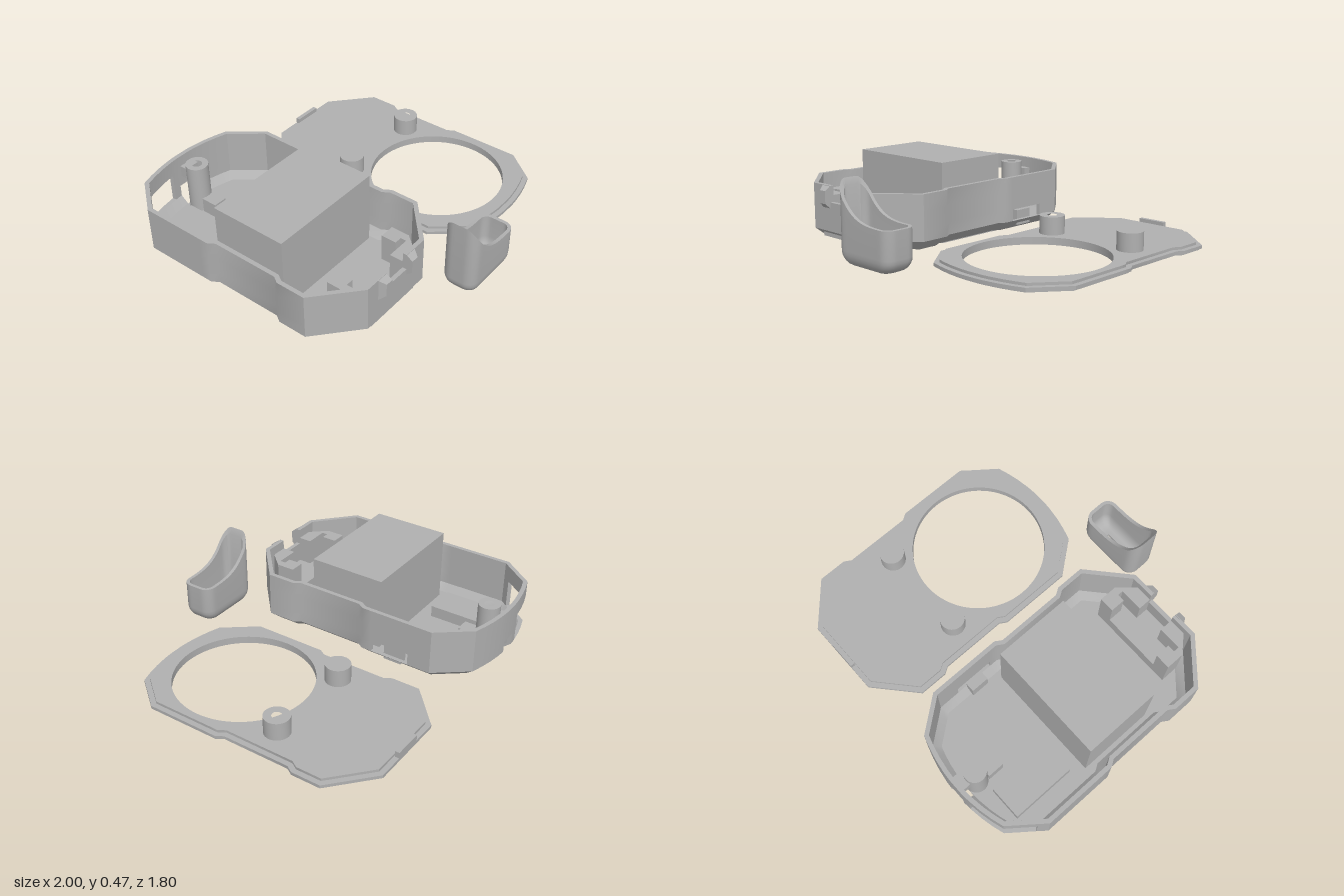
import * as THREE from 'three';
import { toCreasedNormals } from 'three/addons/utils/BufferGeometryUtils.js';

const grey = new THREE.MeshStandardMaterial({ color: 0xb0b0b0 });
grey.name = 'grey plastic';

function add(parent, name, geometry) {
  const mesh = new THREE.Mesh(toCreasedNormals(geometry, 0.6), grey);
  mesh.name = name;
  parent.add(mesh);
  return mesh;
}

// box given by its limits on each axis
function box(parent, name, x0, x1, y0, y1, z0, z1) {
  const g = new THREE.BoxGeometry(x1 - x0, y1 - y0, z1 - z0);
  return add(parent, name, g.translate((x0 + x1) / 2, (y0 + y1) / 2, (z0 + z1) / 2));
}

const circle = (x, z, r, n = 48) => Array.from({ length: n }, (_, i) => {
  const a = (i / n) * Math.PI * 2;
  return [x + r * Math.cos(a), z + r * Math.sin(a)];
});
const rect = (x0, x1, z0, z1) => [[x0, z1], [x1, z1], [x1, z0], [x0, z0]];

// flat plate from a plan outline [x, z], with optional holes
function slab(parent, name, outline, y0, y1, holes = []) {
  const vec = pts => pts.map(([x, z]) => new THREE.Vector2(x, -z));
  const shape = new THREE.Shape(vec(outline));
  shape.holes = holes.map(h => new THREE.Path(vec(h)));
  const g = new THREE.ExtrudeGeometry(shape, { depth: y1 - y0, bevelEnabled: false });
  return add(parent, name, g.rotateX(-Math.PI / 2).translate(0, y0, 0));
}

function quadGeometry(quads) {
  const pos = [];
  for (const [a, b, c, d] of quads) pos.push(...a, ...b, ...c, ...a, ...c, ...d);
  const g = new THREE.BufferGeometry();
  g.setAttribute('position', new THREE.Float32BufferAttribute(pos, 3));
  g.computeVertexNormals();
  return g;
}

// shared plan outline of case and lid, front to back on the right, then mirrored
const arc = x => -0.905 + 0.055 * (x / 0.32) ** 2;
const half = [[0.085, 0.64], [0.235, 0.64], [0.47, 0.43], [0.47, 0.26], [0.445, 0.22], [0.445, -0.18],
  [0.47, -0.22], [0.47, -0.28], [0.47, -0.52], [0.47, -0.66], [0.43, -0.71],
  ...[0.32, 0.25, 0.18, 0.1, 0.05].map(x => [x, arc(x)])];
const plan = [...half, ...half.map(([x, z]) => [-x, z]).reverse()];

// mitred inward offset
function inset(pts, d) {
  const n = pts.length;
  const normal = i => {
    const [a, b] = [pts[(i + n) % n], pts[(i + 1) % n]];
    const l = Math.hypot(b[0] - a[0], b[1] - a[1]);
    return [-(b[1] - a[1]) / l, (b[0] - a[0]) / l];
  };
  return pts.map(([x, z], i) => {
    const [p, q] = [normal(i - 1), normal(i)];
    const k = d / (1 + p[0] * q[0] + p[1] * q[1]);
    return [x - (p[0] + q[0]) * k, z - (p[1] + q[1]) * k];
  });
}

// wall built from cells; cells left out become openings with closed edges
function caseWall() {
  const ys = [0.01, 0.07, 0.14, 0.24, 0.335], n = plan.length;
  const inner = inset(plan, 0.025), foot = inset(plan, 0.07);
  const O = (i, k) => { const p = (k ? plan : foot)[i % n]; return [p[0], ys[k], p[1]]; };
  const I = (i, k) => { const p = (k ? inner : foot)[i % n]; return [p[0], k ? ys[k] : 0.03, p[1]]; };
  const solid = (i, k) => {
    if (k < 0) return true;
    if (k > 3) return false;
    const a = plan[(i + n) % n], b = plan[(i + 1 + n) % n];
    const x = (a[0] + b[0]) / 2, z = (a[1] + b[1]) / 2;
    if (k === 3 && z > 0.63 && Math.abs(x) < 0.08) return false;           // front notch
    if (k === 1 && x > 0.46 && z < -0.28 && z > -0.52) return false;       // side window
    if ((k === 1 || k === 2) && z < -0.7 && x < -0.1 && x > -0.43) return false; // back window
    return !(k < 2 && z < -0.8 && Math.abs(x) < 0.04);                     // back slot
  };
  const quads = [];
  for (let i = 0; i < n; i++) for (let k = 0; k < 4; k++) {
    if (!solid(i, k)) continue;
    const [A, B, C, D] = [O(i, k), O(i + 1, k), O(i + 1, k + 1), O(i, k + 1)];
    const [a, b, c, d] = [I(i, k), I(i + 1, k), I(i + 1, k + 1), I(i, k + 1)];
    quads.push([A, B, C, D], [b, a, d, c]);
    if (!solid(i, k + 1)) quads.push([D, C, c, d]);
    if (!solid(i, k - 1)) quads.push([A, a, b, B]);
    if (!solid(i + 1, k)) quads.push([B, b, c, C]);
    if (!solid(i - 1, k)) quads.push([A, D, d, a]);
  }
  return quadGeometry(quads);
}

function makeCase() {
  const g = new THREE.Group();
  g.name = 'case';
  add(g, 'caseWall', caseWall());
  slab(g, 'caseFloor', inset(plan, 0.07), 0.01, 0.03);
  box(g, 'mainBlock', -0.35, 0.36, 0, 0.465, -0.27, 0.19);
  box(g, 'smallBlock', -0.305, -0.105, 0.03, 0.1, -0.74, -0.35);
  box(g, 'switchBlock', 0.385, 0.44, 0.03, 0.12, -0.46, -0.35);
  slab(g, 'screwPost', circle(0, -0.77, 0.065, 32), 0.03, 0.32, [circle(0, -0.77, 0.03, 24)]);
  box(g, 'postRib', -0.04, 0.045, 0.03, 0.12, -0.71, -0.61);
  box(g, 'backCatch', -0.03, 0.06, 0.2, 0.27, -0.88, -0.83);
  // front bracket with a T-shaped channel, and tapered clips outside
  slab(g, 'bracketBase', [[-0.27, 0.41], [-0.27, 0.52], [-0.18, 0.62], [0.18, 0.62], [0.27, 0.52], [0.27, 0.41]], 0.03, 0.12);
  for (const s of [-1, 1]) {
    const side = [[0.18, 0.41], [0.18, 0.5], [0.225, 0.5], [0.225, 0.535], [0.085, 0.535], [0.085, 0.62],
      [0.18, 0.62], [0.27, 0.52], [0.27, 0.41]];
    slab(g, 'bracketSide', side.map(([x, z]) => [x * s, z]), 0.12, 0.28);
    const clip = new THREE.BoxGeometry(0.07, 0.135, 0.04).translate(0.12 * s, 0.268, 0.655);
    const p = clip.attributes.position;
    for (let i = 0; i < p.count; i++) if (p.getZ(i) > 0.66) {
      p.setY(i, p.getY(i) > 0.268 ? 0.31 : 0.235);
      if (p.getX(i) * s > 0.12) p.setX(i, 0.13 * s);
    }
    add(g, 'frontClip', clip);
  }
  g.position.x = -0.53;
  return g;
}

function makeLid() {
  const g = new THREE.Group();
  g.name = 'lid';
  const outline = plan.map(([x, z]) => [-x, -z - 0.24]);
  const hole = circle(0, 0.165, 0.397, 72);
  slab(g, 'lidUnderside', inset(outline, 0.015), 0.012, 0.022, [hole]);
  slab(g, 'lidPlate', outline, 0.022, 0.04, [hole]);
  slab(g, 'lidLip', inset(outline, 0.03), 0.04, 0.055, [hole]);
  slab(g, 'holeRing', circle(0, 0.165, 0.43, 72), 0.006, 0.012, [hole]);
  box(g, 'lidTab', -0.085, 0.085, 0.04, 0.075, -0.88, -0.855);
  for (const s of [-1, 1]) {
    slab(g, 'lidPost', circle(0.275 * s, -0.27, 0.073, 32), 0.055, 0.16, [circle(0.275 * s, -0.27, 0.028, 24)]);
    // raised frames on the underside
    const x = 0.33 * s;
    slab(g, 'sideFrame', rect(x - 0.06, x + 0.06, -0.66, -0.36), 0.006, 0.012, [rect(x - 0.04, x + 0.04, -0.64, -0.38)]);
  }
  slab(g, 'centreFrame', rect(-0.2, 0.2, -0.66, -0.36), 0.006, 0.012, [rect(-0.175, 0.175, -0.635, -0.385)]);
  slab(g, 'endFrame', rect(-0.2, 0.2, -0.82, -0.72), 0.006, 0.012, [rect(-0.18, 0.18, -0.8, -0.74)]);
  g.position.x = 0.53;
  return g;
}

// rounded rectangle loop with evenly subdivided sides
function roundRect(hx, hz, r) {
  const corners = [[1, 1], [1, -1], [-1, -1], [-1, 1]].map(([sx, sz], c) =>
    Array.from({ length: 7 }, (_, j) => {
      const a = Math.PI / 2 * (1 - c - j / 6);
      return [sx * (hx - r) + r * Math.cos(a), sz * (hz - r) + r * Math.sin(a)];
    }));
  return corners.flatMap((pts, c) => {
    const a = pts[6], b = corners[(c + 1) % 4][0];
    const mid = Array.from({ length: 11 }, (_, j) => (j + 1) / 12);
    return [...pts, ...mid.map(t => [a[0] + (b[0] - a[0]) * t, a[1] + (b[1] - a[1]) * t])];
  });
}

// hollow cup with a sweeping rim and a slot through its base
function makeScoop() {
  const rim = x => 0.245 + 0.215 * Math.max(0, 1 - (x + 0.205) / 0.41) ** 4;
  const ring = (hx, hz, r, y) => roundRect(hx, hz, r).map(([x, z]) => [x, y ?? rim(x), z]);
  const slot = y => ring(0.09, 0.015, 0.001, y);
  const shell = (t, y0) => Array.from({ length: 7 }, (_, j) => {
    const a = (j / 6) * Math.PI / 2, k = 1 - Math.sin(a);
    return ring(0.205 - t - 0.075 * k, 0.1 - t - 0.045 * k, 0.062 - t - 0.025 * k, y0 + 0.08 * (1 - Math.cos(a)));
  });
  const rings = [slot(0.01), ...shell(0, 0.01), ring(0.205, 0.1, 0.062), ring(0.185, 0.08, 0.042),
    ...shell(0.02, 0.03).reverse(), slot(0.03), slot(0.01)];
  const quads = [], n = rings[0].length;
  for (let k = 0; k + 1 < rings.length; k++) for (let i = 0; i < n; i++) {
    const j = (i + 1) % n;
    quads.push([rings[k][i], rings[k][j], rings[k + 1][j], rings[k + 1][i]]);
  }
  const g = new THREE.Group();
  g.name = 'scoop';
  add(g, 'scoopShell', quadGeometry(quads));
  g.position.set(-0.015, 0, 0.8);
  return g;
}

export function createModel() {
  const model = new THREE.Group();
  model.name = 'enclosureKit';
  model.add(makeCase(), makeLid(), makeScoop());
  return model;
}
